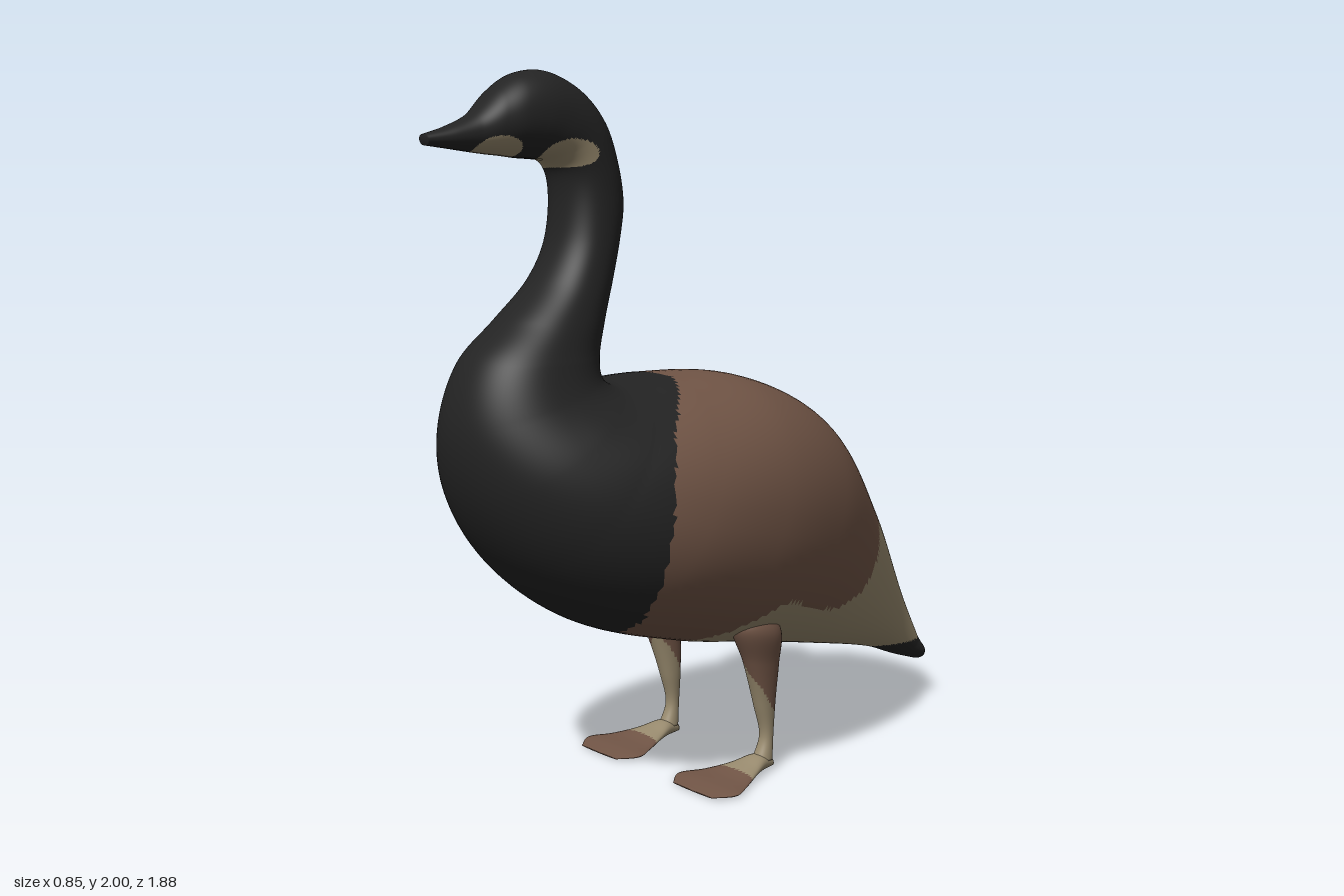
import * as THREE from 'three';

const mat = (name, color) => {
  const m = new THREE.MeshStandardMaterial({ color });
  m.name = name;
  return m;
};

// Piecewise linear lookup in [key, value] pairs with rising keys
function lookup(pairs, k) {
  if (k <= pairs[0][0]) return pairs[0][1];
  for (let i = 1; i < pairs.length; i++) {
    const [k0, v0] = pairs[i - 1], [k1, v1] = pairs[i];
    if (k <= k1) return v0 + (v1 - v0) * (k - k0) / (k1 - k0);
  }
  return pairs[pairs.length - 1][1];
}

const inEllipse = (a, b, ra, rb) => (a / ra) ** 2 + (b / rb) ** 2 < 1;

// Smooth capped skin over rings [zA, yA, zB, yB, halfWidth, centreX];
// A and B are opposite ends of each ring. colourAt(x, y, z) picks a material index.
function loft(name, rings, steps, sides, materials, colourAt, mirror = 1) {
  const a = new THREE.CatmullRomCurve3(rings.map(r => new THREE.Vector3((r[5] || 0) * mirror, r[1], r[0])));
  const b = new THREE.CatmullRomCurve3(rings.map(r => new THREE.Vector3(r[4], r[3], r[2])));
  const count = (rings.length - 1) * steps;
  const pos = [];
  const bulge = v => Math.sign(v) * Math.abs(v) ** 0.93;
  for (let i = 0; i <= count; i++) {
    const p = a.getPoint(i / count), q = b.getPoint(i / count);
    for (let j = 0; j < sides; j++) {
      const t = j / sides * Math.PI * 2, c = bulge(Math.cos(t)) / 2;
      pos.push(p.x + q.x * bulge(Math.sin(t)),
        (p.y + q.y) / 2 + (q.y - p.y) * c,
        (p.z + q.z) / 2 + (q.z - p.z) * c);
    }
  }
  for (const t of [0, 1]) {
    const p = a.getPoint(t), q = b.getPoint(t);
    pos.push(p.x, (p.y + q.y) / 2, (p.z + q.z) / 2);
  }
  const buckets = materials.map(() => []);
  const tri = (...v) => {
    const mid = k => (pos[v[0] * 3 + k] + pos[v[1] * 3 + k] + pos[v[2] * 3 + k]) / 3;
    buckets[colourAt(mid(0) * mirror, mid(1), mid(2))].push(...v);
  };
  const start = (count + 1) * sides, last = count * sides;
  for (let j = 0; j < sides; j++) {
    const k = (j + 1) % sides;
    tri(start, j, k);
    for (let i = 0; i < count; i++) {
      const r = i * sides, s = r + sides;
      tri(r + j, s + j, r + k);
      tri(r + k, s + j, s + k);
    }
    tri(start + 1, last + k, last + j);
  }
  const g = new THREE.BufferGeometry();
  g.setAttribute('position', new THREE.Float32BufferAttribute(pos, 3));
  const index = [];
  buckets.forEach((list, m) => {
    g.addGroup(index.length, list.length, m);
    for (const v of list) index.push(v);
  });
  g.setIndex(index);
  g.computeVertexNormals();
  const mesh = new THREE.Mesh(g, materials);
  mesh.name = name;
  return mesh;
}

// Underside and upper side of the bird from tail to bill
const BODY = [
  [-0.93, 0.125, -0.937, 0.19, 0.062], [-0.84, 0.155, -0.92, 0.22, 0.07],
  [-0.71, 0.205, -0.81, 0.40, 0.11], [-0.39, 0.28, -0.60, 0.75, 0.23],
  [-0.075, 0.345, -0.35, 1.035, 0.36], [0.19, 0.40, -0.075, 1.155, 0.42],
  [0.5, 0.505, 0.19, 1.175, 0.415], [0.72, 0.685, 0.35, 1.17, 0.355],
  [0.84, 0.89, 0.415, 1.175, 0.285], [0.868, 1.075, 0.44, 1.20, 0.215],
  [0.815, 1.24, 0.435, 1.245, 0.175], [0.705, 1.345, 0.41, 1.34, 0.145],
  [0.595, 1.45, 0.375, 1.46, 0.122], [0.54, 1.55, 0.35, 1.56, 0.112],
  [0.525, 1.685, 0.335, 1.65, 0.108], [0.54, 1.745, 0.352, 1.76, 0.108],
  [0.57, 1.765, 0.395, 1.875, 0.11], [0.62, 1.77, 0.47, 1.955, 0.112],
  [0.66, 1.772, 0.58, 2.0, 0.11], [0.71, 1.777, 0.66, 1.99, 0.1],
  [0.75, 1.78, 0.725, 1.95, 0.082], [0.80, 1.785, 0.795, 1.885, 0.058],
  [0.87, 1.793, 0.87, 1.85, 0.04], [0.935, 1.80, 0.94, 1.828, 0.02],
];
// Rear edge of the dark breast (y, z) and upper edge of the pale belly (z, y)
const BREAST_EDGE = [[0.40, 0.22], [0.43, 0.30], [0.48, 0.42], [0.6, 0.455], [0.76, 0.46],
  [0.94, 0.44], [1.05, 0.39], [1.12, 0.31], [1.17, 0.20]];
const BELLY_EDGE = [[-0.58, 0.685], [-0.54, 0.65], [-0.51, 0.57], [-0.445, 0.49], [-0.31, 0.445],
  [-0.155, 0.48], [-0.08, 0.515], [-0.01, 0.53], [0.08, 0.48], [0.2, 0.40], [0.26, 0.30]];

const DARK = 0, BROWN = 1, PALE = 2;

function bodyColour(x, y, z) {
  if (y > 1.2) {
    const nape = z < 0.5 && inEllipse(x, y - 1.315, 0.065, 0.075);
    const cheek = inEllipse(z - 0.54, y - 1.785, 0.075, 0.037);
    const chin = inEllipse(z - 0.745, y - 1.785, 0.065, 0.042);
    return nape || cheek || chin ? PALE : DARK;
  }
  if (z > lookup(BREAST_EDGE, y)) return DARK;
  if (z < -0.925 || (z < -0.7 && y < 0.213)) return DARK;
  if (z < -0.655 + 2.6 * x * x && z < -0.5) return PALE;
  return y < lookup(BELLY_EDGE, z) ? PALE : BROWN;
}

// Leg from thigh to ankle, and webbed foot from heel to toes
const LEG = [
  [-0.05, 0.485, 0.05, 0.485, 0.03, 0.225], [-0.085, 0.42, 0.08, 0.45, 0.055, 0.225],
  [-0.085, 0.32, 0.035, 0.34, 0.042, 0.22], [-0.08, 0.2, -0.012, 0.2, 0.03, 0.213],
  [-0.075, 0.1, -0.035, 0.1, 0.021, 0.213], [-0.07, 0.03, -0.01, 0.035, 0.028, 0.213],
];
const FOOT = [
  [-0.07, 0.005, -0.065, 0.035, 0.02, 0.213], [-0.02, 0.003, -0.02, 0.05, 0.036, 0.213],
  [0.04, 0.001, 0.04, 0.035, 0.06, 0.214], [0.11, 0, 0.11, 0.02, 0.095, 0.215],
  [0.18, 0, 0.18, 0.015, 0.125, 0.215], [0.235, 0, 0.235, 0.006, 0.085, 0.215],
];
const legColour = (x, y, z) =>
  y > 0.15 + 1.5 * (z + 0.08) + 1.2 * Math.max(0, 0.22 - x) ? BROWN : PALE;
const footColour = (x, y, z) => (z > 0.07 || y < 0.007 ? BROWN : PALE);

export function createModel() {
  const materials = [mat('dark plumage', 0x232323), mat('brown plumage', 0x715546), mat('pale plumage', 0x988a6e)];
  const bird = new THREE.Group();
  bird.name = 'goose';
  bird.add(loft('bodyNeckAndHead', BODY, 15, 96, materials, bodyColour));
  for (const [side, s] of [['left', 1], ['right', -1]]) {
    bird.add(loft(side + 'Leg', LEG, 14, 32, materials, legColour, s));
    bird.add(loft(side + 'Foot', FOOT, 10, 32, materials, footColour, s));
  }
  return bird;
}
